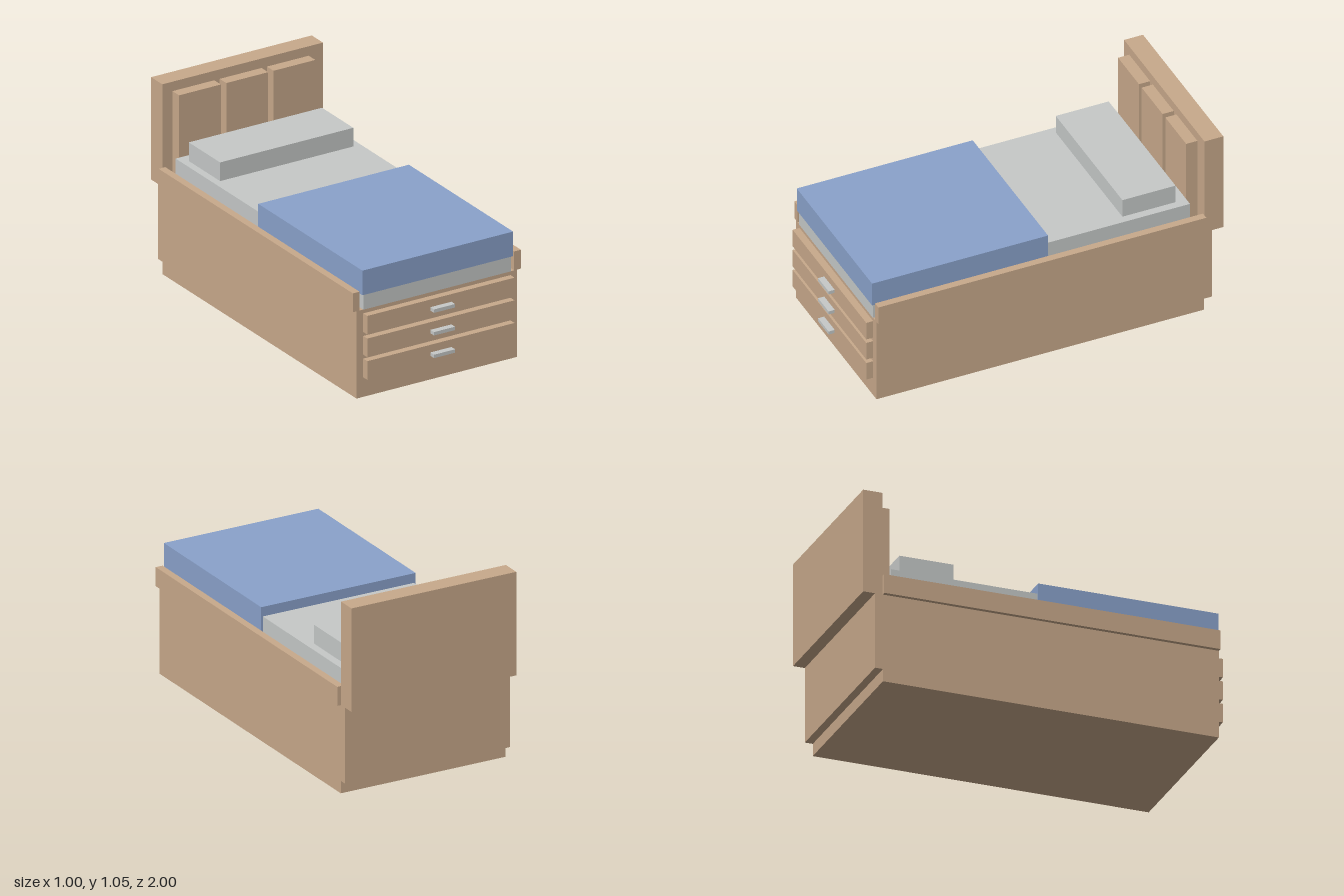
import * as THREE from 'three';

const material = (name, color) => {
  const m = new THREE.MeshStandardMaterial({ color });
  m.name = name;
  return m;
};

export function createModel() {
  const wood = material('wood', 0xc8a98b);
  const linen = material('linen', 0xc6c9c8);
  const blue = material('blue blanket', 0x8aa2cb);
  const bed = new THREE.Group();
  bed.name = 'bed';

  // Box given by its extents along each axis
  const box = (name, mat, [x0, x1], [y0, y1], [z0, z1]) => {
    const mesh = new THREE.Mesh(new THREE.BoxGeometry(x1 - x0, y1 - y0, z1 - z0), mat);
    mesh.position.set((x0 + x1) / 2, (y0 + y1) / 2, (z0 + z1) / 2);
    mesh.name = name;
    bed.add(mesh);
  };

  // Frame
  box('base', wood, [-0.48, 0.48], [0, 0.482], [-0.893, 0.928]);
  box('backPanel', wood, [-0.48, 0.48], [0.068, 0.482], [-0.936, -0.893]);
  box('headboard', wood, [-0.48, 0.48], [0.482, 1.047], [-1, -0.895]);
  box('leftRail', wood, [0.462, 0.502], [0.482, 0.586], [-0.895, 0.928]);
  box('rightRail', wood, [-0.502, -0.462], [0.482, 0.586], [-0.895, 0.928]);

  // Raised headboard panels
  for (let i = 0; i < 3; i++) {
    const x = -0.419 + i * 0.282;
    box(`headboardPanel${i + 1}`, wood, [x, x + 0.25], [0.482, 0.995], [-0.895, -0.833]);
  }

  // Drawers with bar handles at the foot end
  for (let i = 0; i < 3; i++) {
    const y = 0.108 + i * 0.125;
    box(`drawer${i + 1}`, wood, [-0.44, 0.44], [y, y + 0.103], [0.928, 0.966]);
    box(`drawerHandle${i + 1}`, linen, [-0.063, 0.063], [y + 0.042, y + 0.061], [0.966, 1]);
  }

  // Bedding
  box('mattress', linen, [-0.44, 0.44], [0.482, 0.651], [-0.833, 0.93]);
  box('pillow', linen, [-0.4, 0.396], [0.651, 0.754], [-0.772, -0.478]);
  box('blanket', blue, [-0.451, 0.449], [0.567, 0.703], [-0.04, 0.938]);

  return bed;
}
